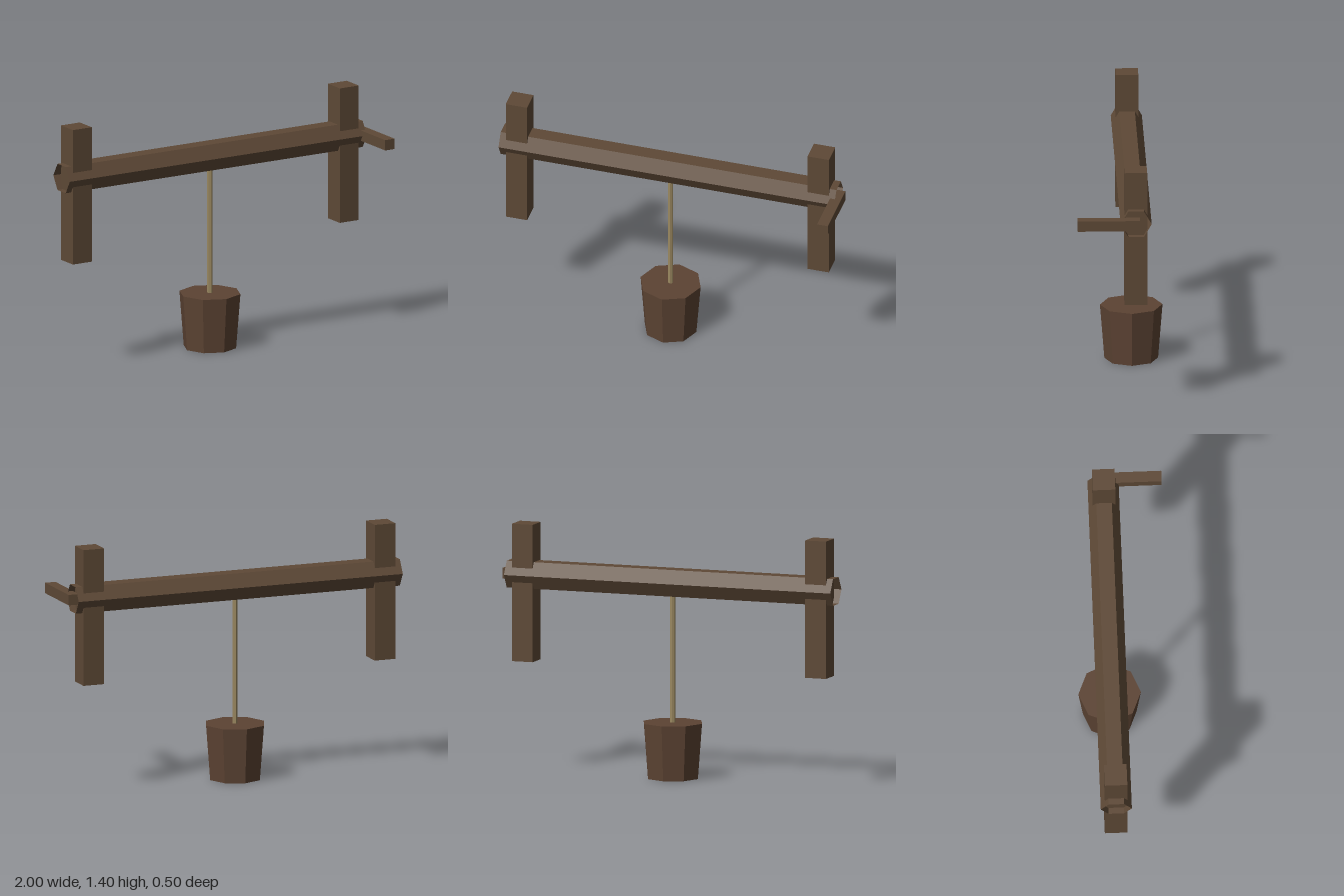
import * as THREE from 'three';

const flat = (name, color, extra = {}) => {
  const m = new THREE.MeshStandardMaterial({ color, flatShading: true, ...extra });
  m.name = name;
  return m;
};

export function createModel() {
  const model = new THREE.Group();
  model.name = 'wellWinch';
  const wood = flat('wood', 0x5e4936);
  const beamWood = flat('beamWood', 0x5e4936, { side: THREE.DoubleSide });
  const bucketWood = flat('bucketWood', 0x5c4333);
  const ropeFibre = flat('ropeFibre', 0x9a8860);

  const midZ = -0.077, axleY = 1.11, ropeX = -0.018;

  const add = (name, geometry, material, x, y, z) => {
    const mesh = new THREE.Mesh(geometry, material);
    mesh.name = name;
    mesh.position.set(x, y, z);
    model.add(mesh);
    return mesh;
  };

  // Two upright posts
  for (const [name, x] of [['rightPost', -0.902], ['leftPost', 0.865]]) {
    add(name, new THREE.BoxGeometry(0.125, 0.78, 0.127), wood, x, 1.01, midZ);
  }

  // Hollow six-sided axle, with edges pointing front and back
  const axle = new THREE.CylinderGeometry(0.0875, 0.0875, 1.966, 6, 1, true);
  axle.rotateZ(Math.PI / 2);
  add('axle', axle, beamWood, -0.017, axleY, midZ);

  // Crank handle reaching forward
  add('crank', new THREE.BoxGeometry(0.063, 0.06, 0.35), wood, 0.9685, axleY, 0.077);

  // Rope from the axle to the bucket
  add('rope', new THREE.CylinderGeometry(0.015, 0.015, 0.8, 6), ropeFibre, ropeX, 0.7, midZ);

  // Tapered eight-sided bucket
  add('bucket', new THREE.CylinderGeometry(0.176, 0.151, 0.315, 8), bucketWood, ropeX, 0.1575, midZ);

  return model;
}
